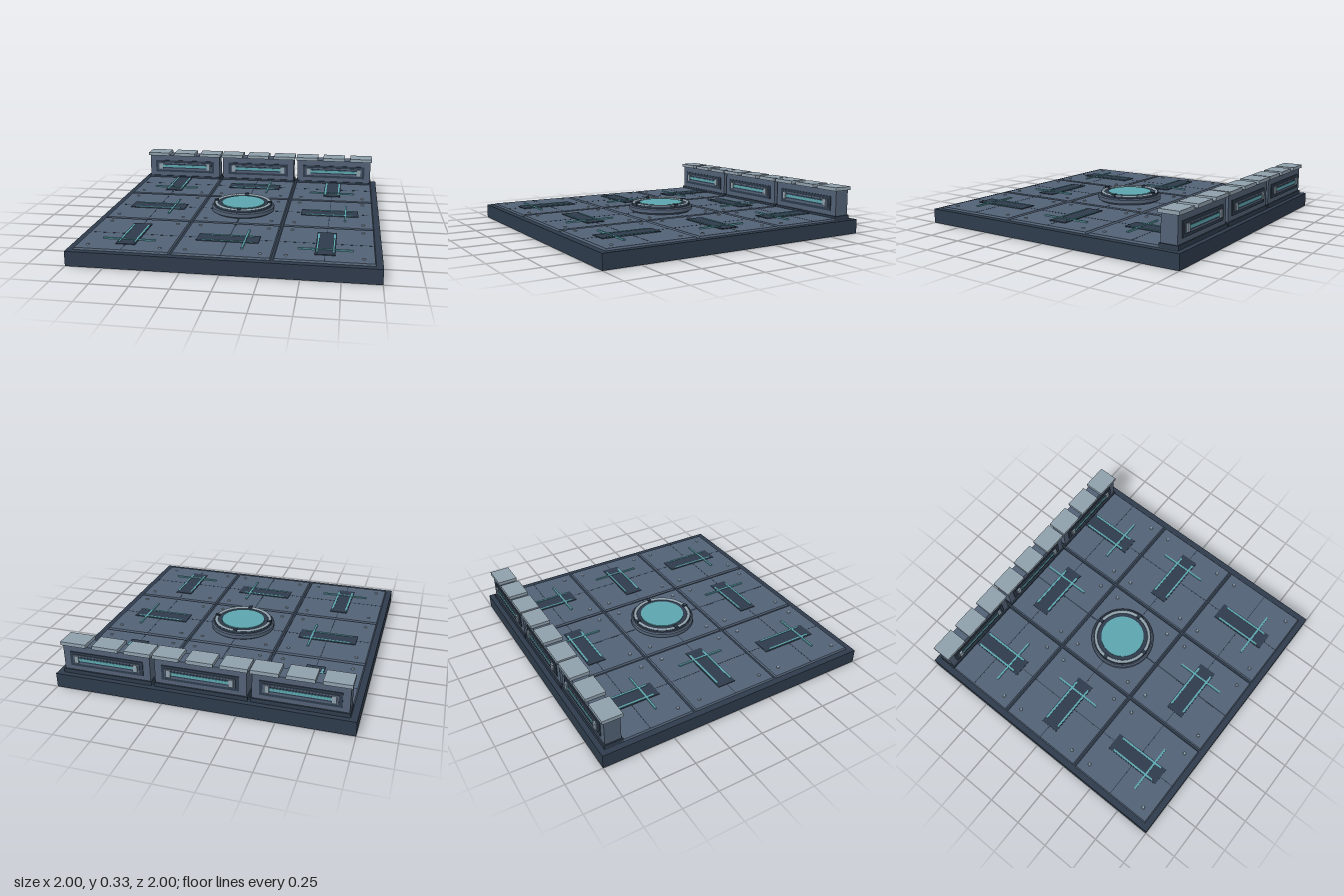
import * as THREE from 'three';

const mat = (name, color) => Object.assign(new THREE.MeshStandardMaterial({ color }), { name });

export function createModel() {
  const dark = mat('dark slate', 0x2e3b4b);
  const slate = mat('slate', 0x526175);
  const steel = mat('pale steel', 0x8fa0ac);
  const teal = mat('teal glow', 0x5ca5ae);
  const root = new THREE.Group();
  root.name = 'floorPlatform';

  const add = (parent, name, geometry, material, x = 0, y = 0, z = 0) => {
    const mesh = new THREE.Mesh(geometry, material);
    mesh.name = name;
    mesh.position.set(x, y, z);
    parent.add(mesh);
    return mesh;
  };
  // Box given by its width, depth, bottom and top
  const slab = (parent, name, material, w, d, y0, y1, x = 0, z = 0) =>
    add(parent, name, new THREE.BoxGeometry(w, y1 - y0, d), material, x, (y0 + y1) / 2, z);
  const group = (name, x = 0, z = 0) => {
    const g = new THREE.Group();
    g.name = name;
    g.position.set(x, 0, z);
    root.add(g);
    return g;
  };

  slab(root, 'base', dark, 2, 2, 0, 0.1);

  // Floor tiles with chamfered rims
  const pitch = 0.643;
  const tileGeometry = new THREE.BoxGeometry(0.628, 0.012, 0.628);
  const p = tileGeometry.attributes.position;
  for (let i = 0; i < p.count; i++) {
    if (p.getY(i) > 0) {
      p.setX(i, p.getX(i) * 0.98);
      p.setZ(i, p.getZ(i) * 0.98);
    }
  }
  tileGeometry.computeVertexNormals();
  const rivetGeometry = new THREE.CylinderGeometry(0.009, 0.012, 0.006, 8);

  for (const i of [-1, 0, 1]) for (const j of [-1, 0, 1]) {
    const tile = group('floorTile', i * pitch, j * pitch);
    add(tile, 'tileSlab', tileGeometry, slate, 0, 0.106, 0);
    slab(tile, 'seamAcross', dark, 0.615, 0.005, 0.111, 0.1128);
    slab(tile, 'seamAlong', dark, i ? 0.005 : 0.009, 0.615, 0.111, 0.1128);
    for (const sx of [-1, 1]) for (const sz of [-1, 1])
      add(tile, 'rivet', rivetGeometry, steel, sx * 0.24, 0.115, sz * 0.24);
    if (!i && !j) continue;

    // Inlay: dark plate, two light rails and an off-centre crossbar
    const inlay = new THREE.Group();
    inlay.name = 'inlay';
    slab(inlay, 'inlayPlate', dark, 0.415, 0.13, 0.111, 0.117);
    for (const s of [-1, 1])
      slab(inlay, 'lightRail', teal, 0.342, 0.013, 0.115, 0.12, 0, s * 0.053);
    slab(inlay, 'crossbar', teal, 0.013, 0.35, 0.112, 0.121, 0.115);
    if (i && j) inlay.rotation.y = -Math.PI / 2;
    tile.add(inlay);
  }

  // Central round pad
  const pad = group('centralPad');
  const disc = (name, material, r0, r1, y0, y1) =>
    add(pad, name, new THREE.CylinderGeometry(r1, r0, y1 - y0, 48), material, 0, (y0 + y1) / 2, 0);
  disc('padFoot', dark, 0.215, 0.215, 0.11, 0.125);
  disc('padBody', slate, 0.232, 0.232, 0.123, 0.15);
  disc('padShoulder', slate, 0.232, 0.222, 0.15, 0.157);
  disc('padCore', dark, 0.2, 0.2, 0.155, 0.169);
  disc('glowDisc', teal, 0.158, 0.158, 0.167, 0.175);
  const ringProfile = [[0.187, 0.165], [0.21, 0.165], [0.21, 0.174], [0.205, 0.179], [0.192, 0.179], [0.187, 0.174], [0.187, 0.165]]
    .map(([r, y]) => new THREE.Vector2(r, y));
  const ringMaterial = steel;
  add(pad, 'padRing', new THREE.LatheGeometry(ringProfile, 48), ringMaterial);
  const trim = [[0.211, 0.157], [0.214, 0.157], [0.214, 0.172], [0.211, 0.172], [0.205, 0.165]]
    .map(([r, y]) => new THREE.Vector2(r, y));
  add(pad, 'ringTrim', new THREE.LatheGeometry(trim, 48), dark);
  for (let k = 0; k < 4; k++) {
    const a = k * Math.PI / 2;
    const clamp = slab(pad, 'clamp', dark, 0.03, 0.026, 0.158, 0.185, Math.cos(a) * 0.2, Math.sin(a) * 0.2);
    clamp.rotation.y = a;
  }

  // Back parapet: three segments, panelled on both sides
  for (const i of [-1, 0, 1]) {
    const wall = group('wallSegment', i * pitch, -0.9);
    slab(wall, 'wallFoot', dark, 0.625, 0.13, 0.1, 0.128);
    slab(wall, 'wallBody', slate, 0.61, 0.112, 0.12, 0.307);
    for (const k of [-1, 0, 1])
      slab(wall, 'wallCap', steel, 0.18, 0.142, 0.305, 0.33, k * 0.2245);
    for (const s of [-1, 1]) {
      slab(wall, 'panelFrame', dark, 0.515, 0.01, 0.16, 0.262, 0, s * 0.057);
      slab(wall, 'panelFace', slate, 0.47, 0.01, 0.18, 0.244, 0, s * 0.062);
      slab(wall, 'panelRecess', dark, 0.43, 0.006, 0.194, 0.234, 0, s * 0.065);
      slab(wall, 'lightBar', teal, 0.385, 0.008, 0.204, 0.224, 0, s * 0.067);
      for (const e of [-1, 1])
        slab(wall, 'barEnd', steel, 0.03, 0.014, 0.188, 0.24, e * 0.208, s * 0.069);
    }
  }
  return root;
}
